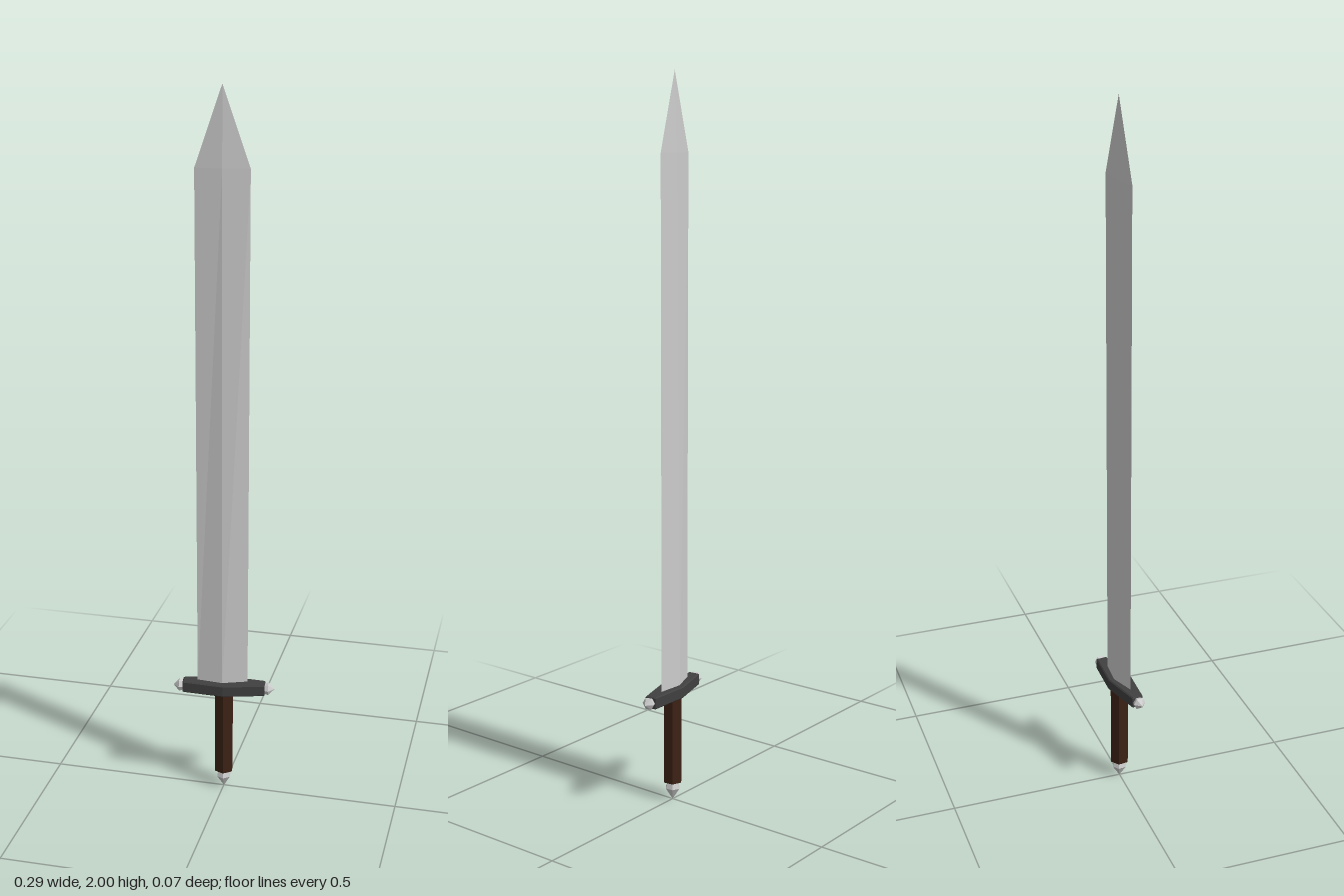
import * as THREE from 'three';

const material = (color) => new THREE.MeshStandardMaterial({ color, flatShading: true });
const steel = material(0xcccccc);
const iron = material(0x404040);
const wood = material(0x3d2216);

// Faceted solid through rings listed top to bottom: [y, radiusX, radiusZ]
function loft(name, rings, sides, mat) {
  const geo = new THREE.CylinderGeometry(1, 1, 1, sides, rings.length - 1, true);
  const pos = geo.attributes.position;
  for (let i = 0; i < pos.count; i++) {
    const [y, rx, rz] = rings[Math.floor(i / (sides + 1))];
    pos.setXYZ(i, pos.getX(i) * rx, y, pos.getZ(i) * rz);
  }
  geo.computeVertexNormals();
  const mesh = new THREE.Mesh(geo, mat);
  mesh.name = name;
  return mesh;
}

export function createModel() {
  const sword = new THREE.Group();
  sword.name = 'sword';
  sword.rotation.y = 0.125;

  // Diamond-section blade, thinning towards the point
  const blade = loft('blade', [
    [2, 0, 0], [1.79, 0.072, 0.007], [0.33, 0.071, 0.016], [0.33, 0, 0],
  ], 4, steel);
  blade.position.set(-0.004, 0, -0.004);
  blade.rotation.y = 0.02;
  sword.add(blade);

  // Crossguard: a flat long hexagon with small bevels
  const b = 0.003;
  const outline = [
    [0.117, 0.016], [0, 0.034], [-0.117, 0.016],
    [-0.117, -0.016], [0, -0.034], [0.117, -0.016],
  ].map(([x, z]) => new THREE.Vector2(x, z));
  const guardGeo = new THREE.ExtrudeGeometry(new THREE.Shape(outline), {
    depth: 0.034 - 2 * b, bevelThickness: b, bevelSize: b, bevelOffset: -b, bevelSegments: 1,
  });
  guardGeo.rotateX(-Math.PI / 2);
  const guard = new THREE.Mesh(guardGeo, iron);
  guard.name = 'crossguard';
  guard.position.set(0, 0.304 + b, -0.001);
  sword.add(guard);

  // Pointed finials on both guard ends
  for (const side of [1, -1]) {
    const finial = loft(side > 0 ? 'leftFinial' : 'rightFinial', [
      [0.029, 0, 0], [0.012, 0.018, 0.018], [0, 0.014, 0.014], [0, 0, 0],
    ], 6, steel);
    finial.position.set(side * 0.115, 0.321, 0);
    finial.rotation.z = -side * Math.PI / 2;
    sword.add(finial);
  }

  // Six-sided grip
  sword.add(loft('grip', [
    [0.306, 0, 0], [0.306, 0.028, 0.028], [0.054, 0.028, 0.028], [0.054, 0, 0],
  ], 6, wood));

  // Pointed pommel
  sword.add(loft('pommel', [
    [0.056, 0, 0], [0.056, 0.014, 0.014], [0.034, 0.021, 0.022], [0, 0, 0],
  ], 6, steel));

  const model = new THREE.Group();
  model.name = 'model';
  model.add(sword);
  return model;
}
